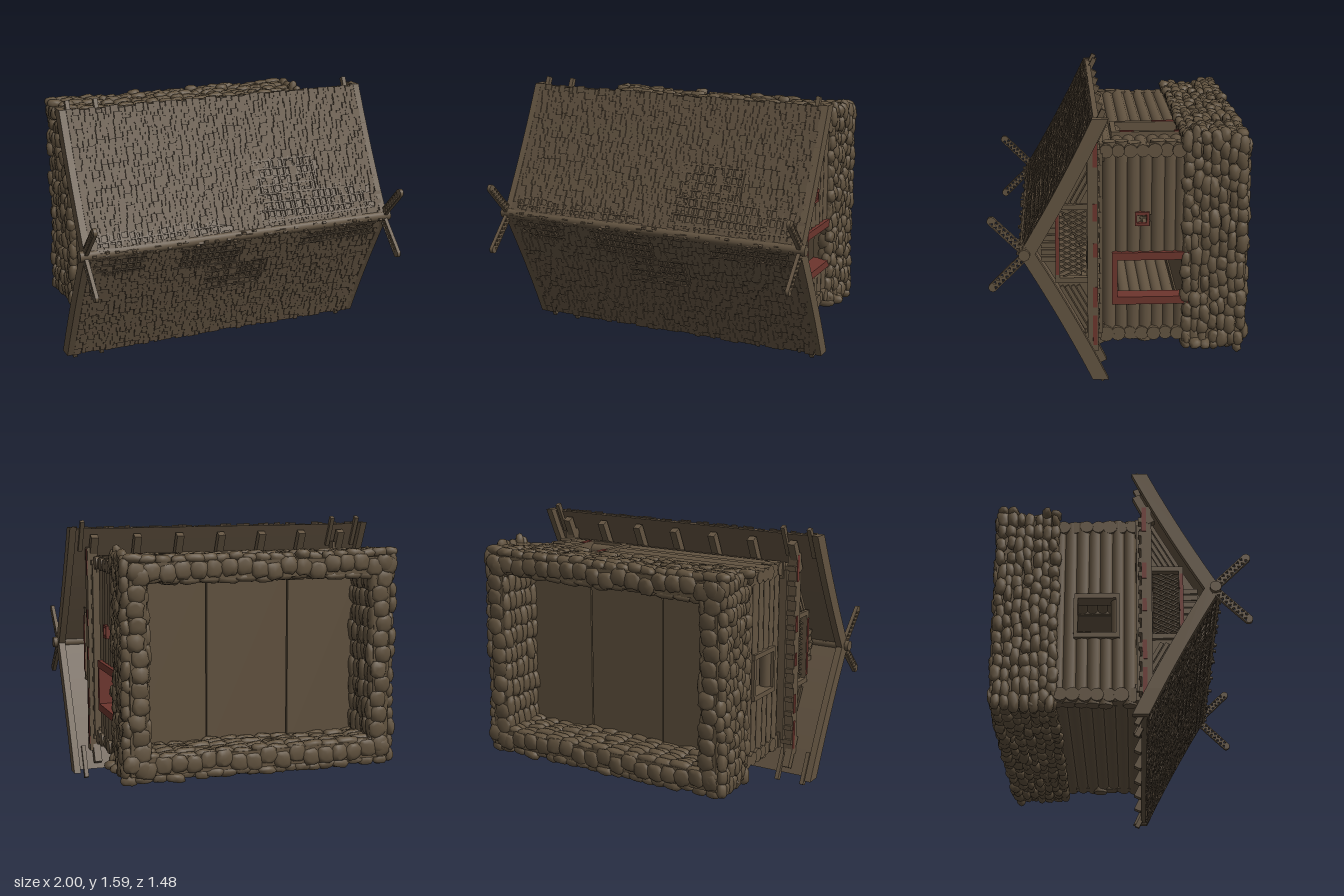
import * as THREE from 'three';
import { mergeGeometries, mergeVertices } from 'three/addons/utils/BufferGeometryUtils.js';

let seed = 7;
const rnd = () => (seed = (seed * 16807) % 2147483647) / 2147483647;
const jit = (a) => (rnd() * 2 - 1) * a;

const mat = (name, color, side = THREE.FrontSide) => {
  const m = new THREE.MeshStandardMaterial({ color, side });
  m.name = name;
  return m;
};

// The house is built upright (x along the ridge, y up, z across), then laid on its back.
export function createModel() {
  seed = 7;
  const wood = mat('wood', 0x635441), roofWood = mat('roof wood', 0x625341), stone = mat('stone', 0x62533f);
  const red = mat('red paint', 0x6d352d), floorWood = mat('floor wood', 0x5f503d);
  const house = new THREE.Group();
  house.name = 'house';
  const add = (name, geos, m) => {
    const mesh = new THREE.Mesh(mergeGeometries(geos), m);
    mesh.name = name;
    house.add(mesh);
  };
  const box = (w, h, d, x, y, z, rx = 0) => new THREE.BoxGeometry(w, h, d).rotateX(rx).translate(x, y, z);
  const span = (x0, x1, y0, y1, z0, z1) =>
    box(x1 - x0, y1 - y0, z1 - z0, (x0 + x1) / 2, (y0 + y1) / 2, (z0 + z1) / 2);
  // Extrudes a (z, y) outline along x
  const extrudeX = (shape, x0, x1) => new THREE.ExtrudeGeometry(shape, { depth: x1 - x0, bevelEnabled: false })
    .rotateY(-Math.PI / 2).translate(x1, 0, 0);

  // Gently sagging roof line
  const roofY = (d) => 0.56 - 0.6 * d + 0.085 * d * d;
  const pitch = (d) => Math.atan(0.6 - 0.17 * d);
  const chevron = (top, bottom, reach) => {
    const pts = [];
    for (let i = -10; i <= 10; i++) pts.push(new THREE.Vector2(i / 10 * reach, roofY(Math.abs(i / 10 * reach)) + top));
    for (let i = 10; i >= -10; i--) pts.push(new THREE.Vector2(i / 10 * reach, roofY(Math.abs(i / 10 * reach)) + bottom));
    return new THREE.Shape(pts);
  };

  // Stone foundation: hollow core covered with fieldstones
  const cx = 0.03, hx = 0.79, hz = 0.6, y0 = -0.705, y1 = -0.36, t = 0.1;
  const core = [];
  for (const s of [-1, 1]) {
    core.push(box(2 * hx, y1 - y0, t, cx, (y0 + y1) / 2, s * (hz - t / 2)));
    core.push(box(t, y1 - y0, 2 * hz, cx + s * (hx - t / 2), (y0 + y1) / 2, 0));
  }
  add('foundationCore', core, stone);
  let rock = new THREE.IcosahedronGeometry(1, 1);
  rock.deleteAttribute('uv');
  rock.deleteAttribute('normal');
  rock = mergeVertices(rock);
  const rp = rock.attributes.position, v = new THREE.Vector3();
  for (let i = 0; i < rp.count; i++) {
    v.fromBufferAttribute(rp, i);
    v.multiplyScalar(Math.max(Math.abs(v.x), Math.abs(v.y), Math.abs(v.z)) ** -0.6);
    rp.setXYZ(i, v.x + jit(0.13), v.y + jit(0.13), v.z + jit(0.13));
  }
  rock.computeVertexNormals();
  const stones = [];
  const putStone = (along, y, off, side, len, h, thick) => {
    const g = rock.clone().rotateX(Math.floor(rnd() * 4) * Math.PI / 2)
      .scale(len, h, thick).rotateZ(jit(0.15)).rotateY(jit(0.12));
    g.translate(along, y, off).rotateY(side * Math.PI / 2);
    stones.push(g.translate(cx, 0, 0));
  };
  for (let side = 0; side < 4; side++) {
    const half = side % 2 ? hz : hx, depth = side % 2 ? hx : hz;
    for (let r = 0; r < 7; r++) {
      const y = y0 + 0.03 + r * 0.051, batter = 0.018 - r * 0.004;
      for (let a = -half; a < half; a += 0.085 + jit(0.015))
        putStone(a + 0.03, y + jit(0.01), depth + batter + jit(0.01), side, 0.048 + jit(0.012), 0.03 + jit(0.006), 0.028);
      if (r < 6) for (let a = -half + 0.1; a < half - 0.1; a += 0.11)
        putStone(a + 0.04, y, depth - t + jit(0.01), side, 0.06 + jit(0.01), 0.03, 0.025);
    }
    for (let a = -half + 0.04; a < half; a += 0.09) {
      putStone(a, y0, depth - 0.05 + jit(0.02), side, 0.05, 0.02 + jit(0.006), 0.05);
      putStone(a, y1 - 0.005, depth - 0.03, side, 0.05, 0.02, 0.04);
    }
  }
  add('foundationStones', stones, stone);

  // Floor boards closing the house above the hollow foundation
  add('floor', [span(-0.72, -0.232, -0.41, -0.385, -0.56, 0.56), span(-0.224, 0.276, -0.41, -0.385, -0.56, 0.56),
    span(0.284, 0.78, -0.41, -0.385, -0.56, 0.56), span(-0.72, 0.78, -0.385, -0.37, -0.56, 0.56)], floorWood);

  // Log walls, with each log split around the openings
  const logs = [];
  const log = (a, b, y, off, alongX) => {
    const r = 0.041 + jit(0.003);
    const g = new THREE.CylinderGeometry(r, r + jit(0.003), b - a, 12, 1).rotateZ(Math.PI / 2);
    if (!alongX) g.rotateY(Math.PI / 2);
    logs.push(alongX ? g.translate((a + b) / 2, y, off) : g.translate(off, y, (a + b) / 2));
  };
  const wall = (a, b, off, alongX, shift, holes) => {
    for (let i = 0; i < 7; i++) {
      const y = -0.34 + shift + i * 0.068;
      let start = a + jit(0.015);
      for (const [h0, h1, bot, top] of holes) if (y > bot && y < top) { log(start, h0, y, off, alongX); start = h1; }
      log(start, b + jit(0.015), y, off, alongX);
    }
  };
  wall(-0.75, 0.82, 0.54, true, 0.02, []);
  wall(-0.75, 0.82, -0.54, true, 0.02, [[0.33, 0.56, -0.4, 0.02]]);
  wall(-0.58, 0.58, 0.765, false, 0, [[-0.165, -0.125, -0.15, -0.09], [0.09, 0.32, -0.4, 0.02]]);
  wall(-0.58, 0.58, -0.7, false, 0, [[-0.06, 0.16, -0.23, -0.01]]);
  add('logWalls', logs, wood);

  // Wall plates, joist ends and eave brackets
  const plates = [];
  for (const s of [-1, 1]) {
    plates.push(box(1.56, 0.025, 0.1, 0.03, 0.112, s * 0.53), box(1.6, 0.09, 0.05, 0.03, 0.165, s * 0.53));
    for (let i = 0; i < 7; i++) plates.push(box(0.045, 0.045, 0.2, -0.8 + i * 0.27, 0.15, s * 0.61, s * 0.45));
  }
  for (const x of [-0.72, 0.785]) plates.push(box(0.1, 0.02, 1.06, x, 0.117, 0));
  for (let i = 0; i < 13; i++) for (const x of [-0.76, 0.78]) plates.push(box(0.12, 0.035, 0.03, x, 0.135, -0.54 + i * 0.09));
  add('wallPlatesAndJoists', plates, wood);

  // Door and window frames
  const frameX = (x0, x1, z0, z1, b, top, w) => [span(x0, x1, b, top, z0, z0 + w), span(x0, x1, b, top, z1 - w, z1),
    span(x0, x1, top - w * 0.7, top, z0 + w, z1 - w)];
  add('sideDoorFrame', frameX(0.72, 0.825, 0.05, 0.36, -0.38, 0.055, 0.045), red);
  add('smallWindowFrame', [...frameX(0.74, 0.82, -0.185, -0.107, -0.155, -0.075, 0.016),
    span(0.74, 0.82, -0.155, -0.14, -0.17, -0.122)], red);
  add('smallWindowBars', [span(0.77, 0.79, -0.15, -0.08, -0.15, -0.142), span(0.77, 0.79, -0.118, -0.11, -0.18, -0.11)], wood);
  add('leftWindowFrame', [...frameX(-0.755, -0.66, -0.09, 0.19, -0.25, 0.01, 0.03),
    span(-0.755, -0.66, -0.255, -0.23, -0.06, 0.16)], wood);
  add('backDoorFrame', [span(0.3, 0.335, -0.38, 0.05, -0.595, -0.5), span(0.555, 0.59, -0.38, 0.05, -0.595, -0.5),
    span(0.335, 0.555, 0.02, 0.05, -0.595, -0.5), span(0.33, 0.56, -0.38, 0.03, -0.515, -0.495)], wood);
  add('backDoorPaint', [span(0.302, 0.333, -0.33, -0.2, -0.599, -0.594), span(0.557, 0.588, -0.08, 0.0, -0.599, -0.594),
    span(0.557, 0.588, -0.36, -0.31, -0.599, -0.594)], red);

  // Roof deck, bargeboards and ridge
  add('roofDeck', [extrudeX(chevron(0, -0.03, 0.745), -0.95, 0.95)], roofWood);
  add('bargeboards', [-1, 1].map((s) => extrudeX(chevron(0.015, -0.075, 0.755), s * 0.955 - 0.02, s * 0.955 + 0.02)), wood);
  add('ridgePole', [new THREE.CylinderGeometry(0.032, 0.032, 2, 14).rotateZ(Math.PI / 2).translate(0, 0.545, 0)], wood);
  const rafters = [];
  for (const s of [-1, 1]) for (const x of [-0.91, -0.74, 0.895])
    rafters.push(box(0.025, 0.03, 0.2, x, roofY(0.7) - 0.035, s * 0.7, s * pitch(0.7)));
  add('rafterTips', rafters, wood);

  // Weathered shingles; worn patches near the ridge expose battens
  const worn = [[-1, 0.15, 0.9, 0.06, 0.2], [-1, 0.15, 0.55, 0.2, 0.38], [-1, -0.9, -0.1, 0.02, 0.09],
    [1, -0.4, 0.0, 0.05, 0.2], [1, -0.18, 0.2, 0.2, 0.38], [1, 0.4, 0.9, 0.03, 0.14], [1, -0.9, -0.6, 0.04, 0.16]];
  const shingles = [], battens = [];
  for (const s of [-1, 1]) {
    for (let r = 0; r < 23; r++) {
      const d = 0.018 + r * 0.0322;
      for (let x = -0.935; x < 0.925;) {
        const w = 0.022 + rnd() * 0.03, dd = d + jit(0.008);
        const bare = worn.some((p) => p[0] === s && x > p[1] && x < p[2] && d > p[3] && d < p[4]);
        if (!bare || rnd() < 0.25) shingles.push(
          box(w - 0.003, 0.009, 0.052, x + w / 2, roofY(dd) + 0.009 + jit(0.004), s * dd, s * (pitch(d) - 0.13)));
        x += w;
      }
    }
    for (const [side, a, b, c, e] of worn) if (side === s) {
      const m = (c + e) / 2;
      for (let x = a; x < b; x += 0.04)
        battens.push(box(0.012, 0.012, e - c + 0.05, x + jit(0.008), roofY(m) + 0.008, s * m, s * pitch(m)));
      for (let d = c; d < e; d += 0.045)
        battens.push(box(b - a, 0.008, 0.01, 0, 0, 0, s * pitch(d)).rotateY(jit(0.03))
          .translate((a + b) / 2, roofY(d) + 0.015, s * d));
    }
  }
  for (let x = -0.92; x < 0.93; x += 0.06 + jit(0.02))
    battens.push(box(0.022, 0.05 + rnd() * 0.03, 0.012, x, 0.555, jit(0.02), jit(0.5)));
  add('shingles', shingles, roofWood);
  add('battens', battens, roofWood);

  // Gables: plank walls, latticed opening, tie beams and painted strips
  const gable = [], gableWall = [], lattice = [], paint = [];
  for (const s of [-1, 1]) {
    const X = s > 0 ? 0.8 : -0.76, out = (o) => X + s * o;
    const tri = new THREE.Shape([[-0.56, 0.19], [0.56, 0.19], [0.25, 0.35], [0, 0.5], [-0.25, 0.35]].map((p) => new THREE.Vector2(...p)));
    tri.holes.push(new THREE.Path([[-0.21, 0.2], [-0.21, 0.35], [0.19, 0.35], [0.19, 0.2]].map((p) => new THREE.Vector2(...p))));
    gableWall.push(extrudeX(tri, X - 0.01, X + 0.01));
    gable.push(box(0.06, 0.06, 1.26, out(0.03), 0.165, 0), box(0.03, 0.025, 0.44, out(0.02), 0.362, 0),
      box(0.03, 0.19, 0.03, out(0.02), 0.28, 0.205), box(0.03, 0.19, 0.03, out(0.02), 0.28, -0.225));
    for (const q of [-1, 1]) for (let k = 0; k < 4; k++) {
      const a = 0.24, b = 0.55 - k * 0.065, m = (a + b) / 2;
      gable.push(box(0.014, 0.022, (b - a) * 1.1, out(0.014), roofY(m) - 0.075 - k * 0.032, q * m, q * 0.5));
    }
    for (let k = -2; k <= 2; k++) gable.push(box(0.014, 0.09, 0.03, out(0.014), 0.41, k * 0.042));
    for (let k = 0; k < 12; k++) for (const q of [-1, 1])
      lattice.push(box(0.008, 0.165, 0.009, out(0.004 * q), 0.277, -0.19 + k * 0.0325, q * 0.45));
    for (const [z, l] of [[-0.54, 0.16], [-0.2, 0.1], [0.02, 0.08], [0.3, 0.12], [0.5, 0.18]])
      paint.push(box(0.006, 0.025, l, out(0.061), 0.152, z));
    paint.push(box(0.006, 0.02, 0.36, out(0.036), 0.364, -0.01));
  }
  add('gableWalls', gableWall, wood);
  add('gableTimbers', gable, wood);
  add('gableLattice', lattice, wood);
  add('gablePaint', paint, red);

  // Crossed, pierced finials at both ends of the ridge
  const horn = new THREE.Shape();
  horn.moveTo(-0.024, 0).lineTo(0.024, 0).lineTo(0.024, 0.27).absarc(0, 0.27, 0.024, 0, Math.PI, false).lineTo(-0.024, 0);
  for (let i = 0; i < 8; i++) for (const q of [-1, 1]) {
    const c = 0.04 + i * 0.029 + (q > 0 ? 0.0145 : 0);
    horn.holes.push(new THREE.Path([[q * 0.018, c - 0.011], [q * 0.018, c + 0.011], [q * 0.001, c]].map((p) => new THREE.Vector2(...p))));
  }
  const finials = [];
  for (const s of [-1, 1]) for (const q of [-1, 1])
    finials.push(extrudeX(horn, -0.011, 0.011).rotateX(q * Math.PI / 4).translate(s * 0.965, 0.53, 0));
  add('crossedFinials', finials, wood);

  house.rotation.x = Math.PI / 2;
  house.position.y = 0.79;
  const model = new THREE.Group();
  model.name = 'logHouse';
  model.add(house);
  return model;
}
